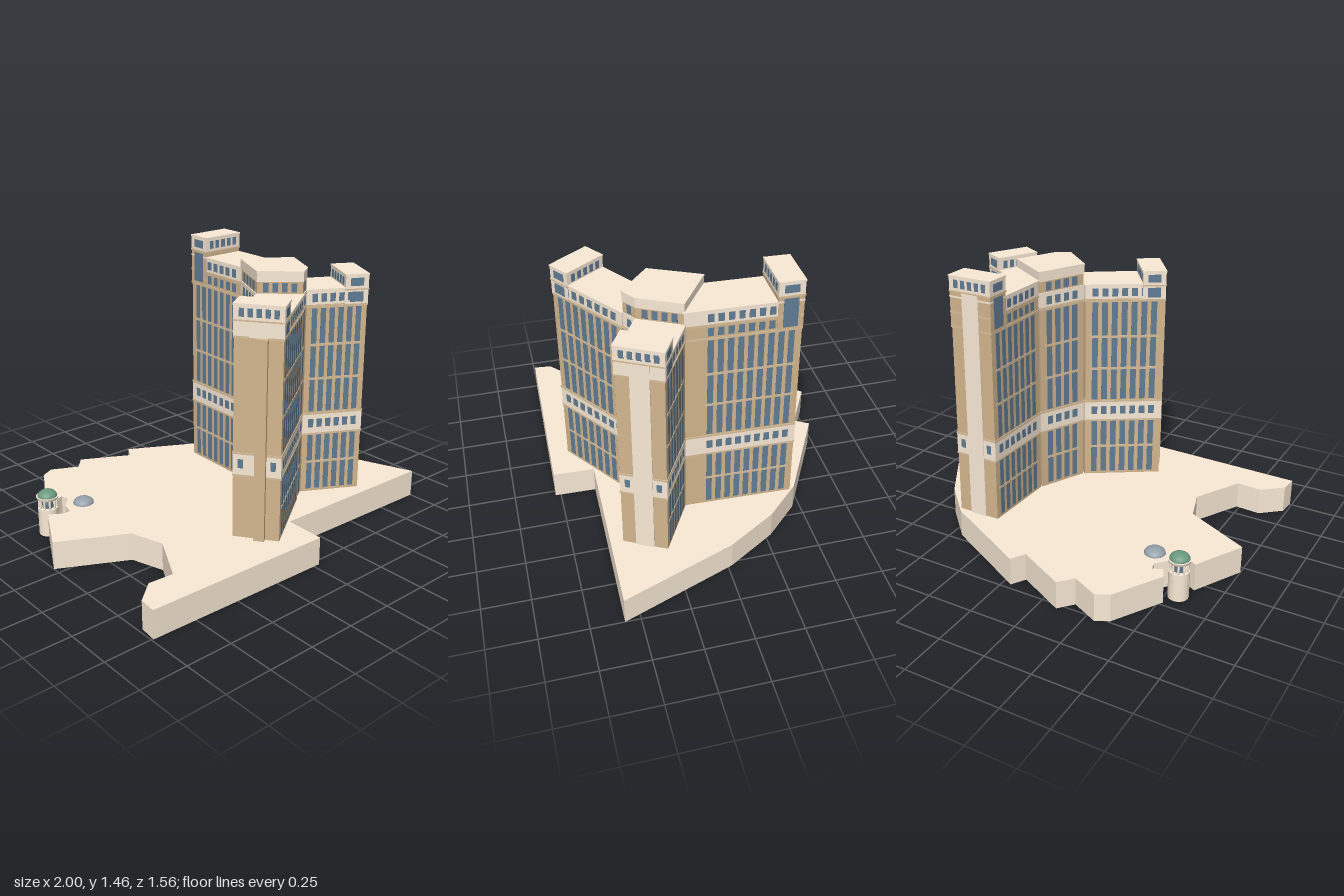
import * as THREE from 'three';

const mat = (color) => new THREE.MeshStandardMaterial({ color, flatShading: true });
const stone = mat(0xfbebd7), tan = mat(0xd4b78f), trim = mat(0xd8bf9b), glass = mat(0x627d95);
const green = mat(0x6c9a80), slate = mat(0x96a1ab);
const shell = mat(0xfbebd7);
shell.side = THREE.DoubleSide;

const UP = 0.15; // podium top

function add(parent, name, geo, material, x = 0, y = 0, z = 0) {
  const m = new THREE.Mesh(geo, material);
  m.name = name;
  m.position.set(x, y, z);
  parent.add(m);
  return m;
}

const toShape = (pts) => new THREE.Shape(pts.map(([x, z]) => new THREE.Vector2(x, -z)));

// Vertical prism over an [x, z] outline
function prism(parent, name, pts, y0, y1, material) {
  const geo = new THREE.ExtrudeGeometry(toShape(pts), { depth: y1 - y0, bevelEnabled: false });
  geo.rotateX(-Math.PI / 2);
  return add(parent, name, geo, material, 0, y0, 0);
}

// Hollow podium: a top plate and upright walls, open underneath
function podium(parent, pts) {
  add(parent, 'podiumTop', new THREE.ShapeGeometry(toShape(pts)).rotateX(-Math.PI / 2), shell, 0, UP, 0);
  pts.forEach((p, i) => {
    const q = pts[(i + 1) % pts.length], dx = q[0] - p[0], dz = q[1] - p[1];
    const wall = add(parent, 'podiumWall', new THREE.PlaneGeometry(Math.hypot(dx, dz), UP), shell,
      (p[0] + q[0]) / 2, UP / 2, (p[1] + q[1]) / 2);
    wall.rotation.y = Math.atan2(dz, -dx); // outline runs clockwise seen from above
  });
}

const centroid = (pts) => pts.reduce((c, p) => [c[0] + p[0] / pts.length, c[1] + p[1] / pts.length], [0, 0]);

// Unit direction and outward normal of an edge, given an inside point
function edgeFrame(p, q, c) {
  const len = Math.hypot(q[0] - p[0], q[1] - p[1]);
  const d = [(q[0] - p[0]) / len, (q[1] - p[1]) / len];
  let n = [d[1], -d[0]];
  if (n[0] * (p[0] - c[0]) + n[1] * (p[1] - c[1]) < 0) n = [-n[0], -n[1]];
  return { len, d, n };
}

// Grow a convex outline outward by e
function grow(pts, e) {
  const c = centroid(pts), k = pts.length;
  return pts.map((p, i) => {
    const a = edgeFrame(pts[(i + k - 1) % k], p, c).n, b = edgeFrame(p, pts[(i + 1) % k], c).n;
    const s = e / (1 + a[0] * b[0] + a[1] * b[1]);
    return [p[0] + (a[0] + b[0]) * s, p[1] + (a[1] + b[1]) * s];
  });
}

// Panel lying on the wall p-q, centred at distance t along it
function panel(parent, name, p, q, c, t, width, y0, y1, out, material) {
  const { d, n } = edgeFrame(p, q, c);
  const depth = out + 0.01;
  const m = add(parent, name, new THREE.BoxGeometry(width, y1 - y0, depth), material,
    p[0] + d[0] * t + n[0] * (out - depth / 2), (y0 + y1) / 2, p[1] + d[1] * t + n[1] * (out - depth / 2));
  m.rotation.y = Math.atan2(n[0], n[1]);
}

// Row of equal windows between two insets
function windowRow(parent, p, q, c, count, in0, in1, y0, y1, out) {
  const step = (edgeFrame(p, q, c).len - in0 - in1) / count;
  for (let i = 0; i < count; i++)
    panel(parent, 'window', p, q, c, in0 + (i + 0.5) * step, step * 0.6, y0, y1, out, glass);
}

// All storeys of one wall: tall glazing, floor lines, belt windows and top rows
function facade(parent, p, q, c, count, in0, in1, topRows) {
  const rows = [[0.165, 0.48, 0.0015], [0.525, 0.572, 0.0035], [0.615, 1.18, 0.0015], ...topRows];
  rows.forEach(([y0, y1, out]) => windowRow(parent, p, q, c, count, in0, in1, y0, y1, out));
  const run = edgeFrame(p, q, c).len - in0 - in1;
  [0.325, 0.8, 0.985].forEach((y) =>
    panel(parent, 'floorLine', p, q, c, in0 + run / 2, run, y - 0.007, y + 0.007, 0.003, trim));
}

// Body with belt course, cornice line and a pale band under the roof
function body(parent, pts, wallTop, bandTop) {
  prism(parent, 'walls', pts, UP, wallTop, tan);
  prism(parent, 'beltCourse', grow(pts, 0.002), 0.49, 0.6, stone);
  [0.487, 0.603, 1.19].forEach((y) => prism(parent, 'stringCourse', grow(pts, 0.004), y - 0.005, y + 0.005, trim));
  prism(parent, 'topBand', grow(pts, 0.002), bandTop - 0.08, bandTop, stone);
  prism(parent, 'cornice', grow(pts, 0.0045), bandTop - 0.008, bandTop + 0.001, stone);
}

// Wing: a, b meet the core; c, d form the outer end; e, f are the inner corners of the end tower
function wing(root, w) {
  const g = new THREE.Group();
  g.name = w.name;
  root.add(g);
  const { a, b, c, d, e, f, top } = w;
  const outline = [a, c, d, b], mid = centroid(outline);
  const high = top > 1.3;
  body(g, outline, top - 0.01, top);
  const rows = [[top - 0.066, top - 0.022, 0.0035]];
  if (high) {
    rows.push([1.205, 1.25, 0.0015]);
    prism(g, 'upperStringCourse', grow(outline, 0.004), 1.26, 1.272, trim);
  }
  facade(g, a, c, mid, ...w.sideA, rows);
  facade(g, b, d, mid, ...w.sideB, rows);

  // End tower
  const tower = [e, c, d, f], tc = centroid(tower), tt = w.towerTop;
  prism(g, 'towerBase', grow(tower, 0.003), 1.195, tt - 0.075, high ? tan : stone);
  prism(g, 'towerHead', grow(tower, 0.0035), tt - 0.08, tt, stone);
  prism(g, 'towerSill', grow(tower, 0.006), tt - 0.084, tt - 0.076, trim);
  prism(g, 'towerRim', grow(tower, 0.006), tt - 0.008, tt + 0.001, stone);
  [[e, c], [f, d]].forEach(([p, q]) => {
    windowRow(g, p, q, tc, 1, 0, 0, tt - 0.062, tt - 0.02, 0.005);
    windowRow(g, p, q, tc, 1, 0, 0, 1.205, tt - 0.092, 0.005);
  });
  [[c, d], [e, f]].forEach(([p, q]) =>
    windowRow(g, p, q, tc, 5, 0.015, 0.015, tt - 0.062, tt - 0.02, 0.005));

  // Blank end wall with a central shaft and a window on each side of the belt
  const len = edgeFrame(c, d, mid).len;
  [0.16, 0.84].forEach((s) => panel(g, 'endWindow', c, d, mid, len * s, 0.026, 0.525, 0.572, 0.0035, glass));
  if (w.stairShaft) {
    panel(g, 'stairShaft', c, d, mid, len * 0.58, 0.055, UP, 1.19, 0.024, tan);
    panel(g, 'shaftPanel', c, d, mid, len * 0.5, 0.09, 1.19, tt - 0.085, 0.005, stone);
  } else panel(g, 'endShaft', c, d, mid, len * 0.5, 0.095, UP, tt - 0.085, 0.006, stone);
}

export function createModel() {
  const root = new THREE.Group();
  root.name = 'hotel';

  podium(root, [
    [-0.62, -0.74], [-0.55, -0.775], [-0.41, -0.705], [-0.345, -0.78], [-0.09, -0.645], [-0.045, -0.72],
    [0.44, -0.46], [0.615, -0.28], [0.775, -0.02], [1, 0.58], [0.04, 0.56], [0.035, 0.78], [-0.99, 0.755],
    [-0.98, 0.66], [-0.87, 0.565], [-0.735, 0.575], [-0.595, 0.315], [-0.65, 0.135], [-1, -0.045],
    [-0.86, -0.31], [-0.79, -0.27], [-0.75, -0.27], [-0.735, -0.34], [-0.68, -0.4], [-0.69, -0.445],
    [-0.74, -0.425], [-0.77, -0.48]]);

  // Three wings
  wing(root, { name: 'backWing', a: [0.21, -0.015], b: [0.44, 0.14], c: [0.223, -0.43], d: [0.457, -0.43],
    e: [0.218, -0.308], f: [0.454, -0.308], top: 1.35, towerTop: 1.455, sideA: [7, 0.03, 0.025], sideB: [9, 0.1, 0.025] });
  wing(root, { name: 'frontRightWing', a: [0.075, 0.247], b: [0.255, 0.4], c: [-0.282, 0.48], d: [-0.147, 0.675],
    e: [-0.185, 0.415], f: [-0.05, 0.61], top: 1.28, towerTop: 1.35, sideA: [7, 0.025, 0.03], sideB: [8, 0.03, 0.025],
    stairShaft: true });
  wing(root, { name: 'frontLeftWing', a: [0.44, 0.14], b: [0.33, 0.35], c: [0.723, 0.3], d: [0.613, 0.507],
    e: [0.622, 0.244], f: [0.512, 0.45], top: 1.28, towerTop: 1.35, sideA: [6, 0.025, 0.02], sideB: [6, 0.02, 0.02] });

  // Central core with flat roof
  const core = new THREE.Group();
  core.name = 'core';
  root.add(core);
  const plan = [[0.205, -0.008], [0.433, 0.142], [0.327, 0.347], [0.255, 0.394], [0.085, 0.241]], mid = centroid(plan);
  body(core, plan, 1.38, 1.28);
  prism(core, 'coreRoof', grow(plan, 0.003), 1.342, 1.395, stone);
  prism(core, 'coreRoofRim', grow(plan, 0.005), 1.388, 1.397, stone);
  const rows = [[1.214, 1.258, 0.0035], [1.288, 1.335, 0.0015]];
  facade(core, plan[4], plan[0], mid, 4, 0.03, 0.03, rows);
  facade(core, plan[2], plan[3], mid, 1, 0.02, 0.02, rows);
  [[3, 4], [1, 2]].forEach(([i, j]) =>
    windowRow(core, plan[i], plan[j], mid, 4, 0.02, 0.02, 1.288, 1.335, 0.0015));

  // Domed pavilion on a hollow round pier
  const pav = new THREE.Group();
  pav.name = 'pavilion';
  pav.position.set(-0.81, 0, -0.39);
  root.add(pav);
  add(pav, 'pier', new THREE.CylinderGeometry(0.053, 0.053, UP, 20, 1, true), shell, 0, UP / 2, 0);
  add(pav, 'floor', new THREE.CircleGeometry(0.053, 20).rotateX(-Math.PI / 2), shell, 0, UP, 0);
  add(pav, 'innerRoom', new THREE.CylinderGeometry(0.03, 0.03, 0.055, 16), glass, 0, 0.177, 0);
  for (let i = 0; i < 10; i++) {
    const t = (i / 10) * Math.PI * 2;
    add(pav, 'column', new THREE.CylinderGeometry(0.006, 0.006, 0.055, 6), stone, Math.cos(t) * 0.045, 0.177, Math.sin(t) * 0.045);
  }
  add(pav, 'entablature', new THREE.CylinderGeometry(0.06, 0.055, 0.014, 20), stone, 0, 0.209, 0);
  const dome = (r) => new THREE.SphereGeometry(r, 20, 6, 0, Math.PI * 2, 0, Math.PI / 2);
  add(pav, 'greenDome', dome(0.052), green, 0, 0.214, 0).scale.y = 0.68;

  // Low dome beside it
  add(root, 'lowDome', dome(0.055), slate, -0.64, UP, -0.31).scale.y = 0.58;

  return root;
}
